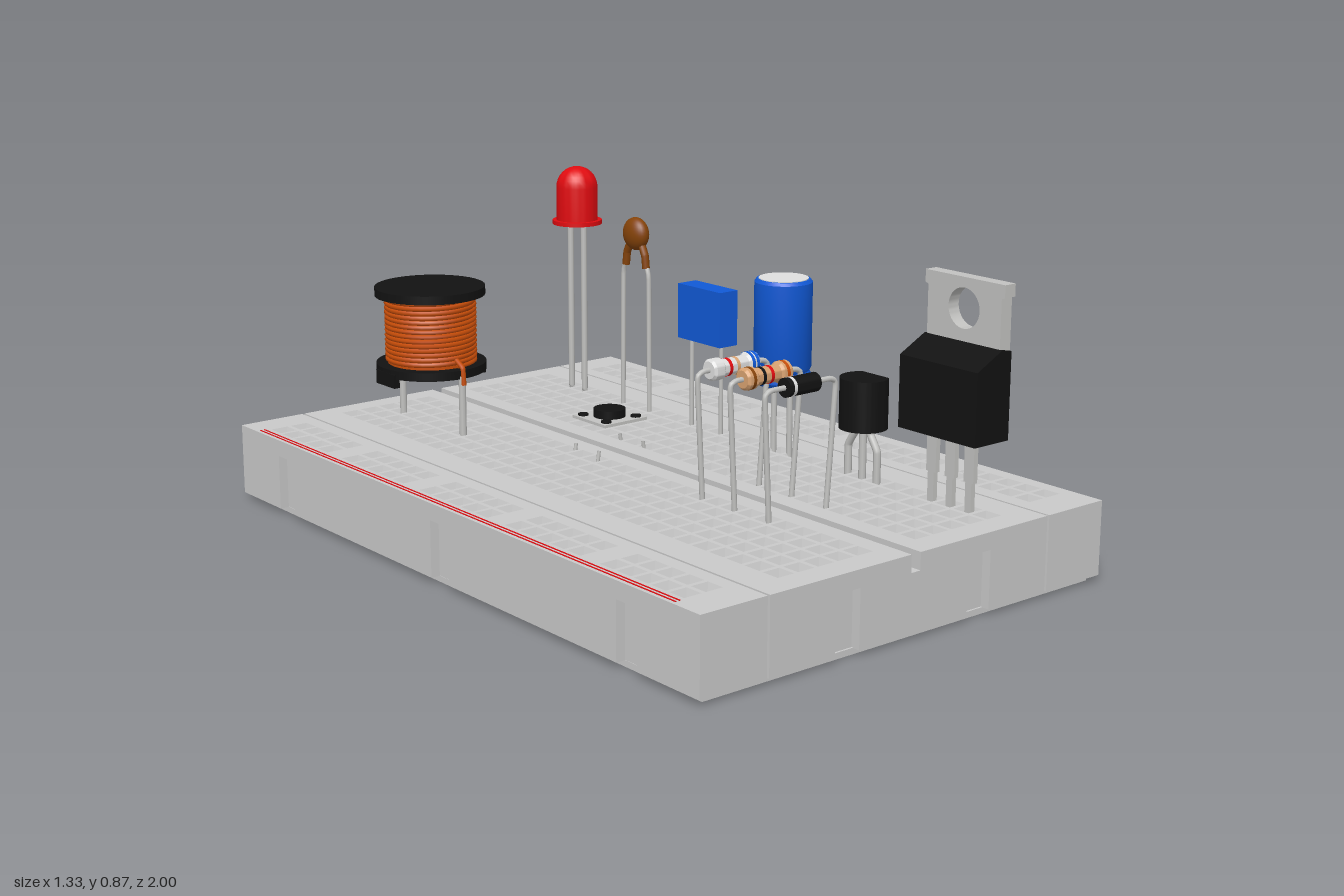
import * as THREE from 'three';
import { mergeGeometries, toCreasedNormals } from 'three/addons/utils/BufferGeometryUtils.js';

const mat = (name, color, side = THREE.FrontSide) => {
  const m = new THREE.MeshStandardMaterial({ color, side });
  m.name = name;
  return m;
};

export function createModel() {
  const grey = mat('light grey', 0xc9c9c9, THREE.DoubleSide);
  const steel = mat('steel', 0xc2c2c0, THREE.DoubleSide);
  const black = mat('black', 0x121212);
  const red = mat('red', 0xe00b10);
  const blue = mat('blue', 0x1159d6);
  const copper = mat('copper', 0xc54c08);
  const brown = mat('brown', 0x854309);
  const tan = mat('tan', 0xd9a271);
  const white = mat('off white', 0xdedede);

  const root = new THREE.Group();
  let parent = root;
  const group = (name, x = 0, y = 0, z = 0) => {
    parent = new THREE.Group();
    parent.name = name;
    parent.position.set(x, y, z);
    root.add(parent);
  };
  const add = (name, geo, material, x = 0, y = 0, z = 0) => {
    const m = new THREE.Mesh(geo, material);
    m.name = name;
    m.position.set(x, y, z);
    parent.add(m);
    return m;
  };
  const box = (name, x0, x1, y0, y1, z0, z1, material) =>
    add(name, new THREE.BoxGeometry(x1 - x0, y1 - y0, z1 - z0), material, (x0 + x1) / 2, (y0 + y1) / 2, (z0 + z1) / 2);
  const cyl = (r, h, n = 32) => new THREE.CylinderGeometry(r, r, h, n);
  const poly = pts => new THREE.Shape(pts.map(p => new THREE.Vector2(...p)));
  const extrude = (shape, depth) => new THREE.ExtrudeGeometry(shape, { depth, bevelEnabled: false, curveSegments: 24 });
  // Plan outline in (x, z), raised from y0 to y1
  const slab = (name, pts, y0, y1, holes = []) => {
    const s = poly(pts.map(([x, z]) => [x, -z]));
    s.holes = holes.map(([x, z, h]) => poly([[x - h, -z - h], [x - h, -z + h], [x + h, -z + h], [x + h, -z - h]]));
    add(name, extrude(s, y1 - y0).rotateX(-Math.PI / 2).translate(0, y0, 0), grey);
  };
  const lathe = pts => toCreasedNormals(new THREE.LatheGeometry(pts.map(p => new THREE.Vector2(...p)), 36), 0.6);
  const wire = (name, pts, r = 0.008, material = steel) => {
    const curve = new THREE.CatmullRomCurve3(pts.map(p => new THREE.Vector3(...p)), false, 'catmullrom', 0.15);
    return add(name, new THREE.TubeGeometry(curve, 10 * pts.length, r, 8), material);
  };
  const leg = (x, z, y1, r) => wire('leg', [[x, 0.19, z], [x, y1, z]], r);

  // ---- Board ----
  group('board');
  const Z0 = -0.973, Z1 = 1, TOP = 0.21, FLOOR = 0.186, SEAT = 0.165, P = 0.0617;
  const tabZ = [-0.735, 0.007, 0.75], tabX = [-0.23, 0.2], W = 0.038, D = 0.025;
  const rect = (a, b) => [[a, Z0], [b, Z0], [b, Z1], [a, Z1]];
  box('basePlate', -0.643, 0.618, 0, 0.016, -0.95, 0.98, grey);
  // Lower layer, with sockets in the left-hand and front edges
  const sideNotches = tabZ.flatMap(z => [[-0.667, z - W], [-0.667 + D, z - W], [-0.667 + D, z + W], [-0.667, z + W]]);
  slab('leftRailBase', [[-0.667, Z0], ...sideNotches, [-0.667, Z1], [-0.474, Z1], [-0.474, Z0]], 0.015, SEAT);
  const frontNotches = tabX.flatMap(x => [[x - W, Z1], [x - W, Z1 - D], [x + W, Z1 - D], [x + W, Z1]]);
  slab('middleBase', [[-0.467, Z0], [-0.467, Z1], ...frontNotches, [0.437, Z1], [0.437, Z0]], 0.015, SEAT);
  slab('rightRailBase', rect(0.444, 0.64), 0.015, SEAT);
  // Upper strips with tapered square contact holes
  const bankZ = Array.from({ length: 30 }, (_, i) => -0.887 + P * i);
  const railZ = Array.from({ length: 25 }, (_, i) => -0.855 + P * (i % 5 + 6 * Math.floor(i / 5)));
  const strips = [
    ['leftRail', -0.667, -0.474, -0.601, 2, railZ], ['leftBank', -0.467, -0.03, -0.354, 5, bankZ],
    ['rightBank', 0, 0.437, 0.081, 5, bankZ], ['rightRail', 0.444, 0.64, 0.514, 2, railZ]];
  const funnels = [];
  for (const [name, a, b, x0, n, rows] of strips) {
    const holes = [];
    for (let i = 0; i < n; i++) for (const z of rows) {
      holes.push([x0 + P * i, z, 0.025]);
      funnels.push(new THREE.CylinderGeometry(0.025 * Math.SQRT2, 0.014 * Math.SQRT2, TOP - FLOOR, 4, 1, true)
        .rotateY(Math.PI / 4).toNonIndexed().translate(x0 + P * i, (TOP + FLOOR) / 2, z));
    }
    slab(name + 'Strip', rect(a, b), SEAT, FLOOR);
    slab(name + 'Top', rect(a, b), FLOOR, TOP, holes);
  }
  const funnelGeo = mergeGeometries(funnels);
  funnelGeo.computeVertexNormals();
  funnelGeo.scale(1, 1, 1);
  add('contactHoles', funnelGeo, grey);
  for (const z of tabZ) box('sideTab', 0.635, 0.665, 0.018, 0.16, z - W, z + W, grey);
  for (const x of tabX) box('backTab', x - W, x + W, 0.018, 0.16, -1, Z0 + 0.005, grey);
  for (const x of [-0.655, -0.643]) box('railLine', x - 0.0018, x + 0.0018, 0.209, 0.2115, -0.89, 0.905, red);

  // ---- Lamp ----
  group('lamp');
  const dome = Array.from({ length: 9 }, (_, i) => [0.06 * Math.cos(i * Math.PI / 16), 0.812 + 0.06 * Math.sin(i * Math.PI / 16)]);
  dome[8][0] = 0;
  add('lens', lathe([[0, 0.704], [0.072, 0.704], [0.072, 0.716], [0.06, 0.716], ...dome]), red, 0.326, 0, -0.728);
  for (const z of [-0.697, -0.76]) leg(0.326, z, 0.71, 0.009);

  // ---- Disc capacitor ----
  group('discCapacitor');
  add('disc', new THREE.SphereGeometry(0.047, 28, 18).scale(0.63, 1, 1), brown, 0.325, 0.712, -0.452);
  for (const s of [-1, 1]) {
    const z = d => -0.452 + s * d;
    wire('coating', [[0.325, 0.69, z(0.022)], [0.325, 0.655, z(0.04)], [0.325, 0.618, z(0.045)]], 0.011, brown);
    wire('leg', [[0.325, 0.63, z(0.043)], [0.325, 0.59, z(0.057)], [0.325, 0.19, z(0.06)]], 0.007);
  }

  // ---- Box capacitor ----
  group('boxCapacitor');
  box('case', 0.296, 0.359, 0.455, 0.608, -0.23, -0.054, blue);
  for (const z of [-0.08, -0.204]) leg(0.325, z, 0.46, 0.006);

  // ---- Can capacitor ----
  group('canCapacitor', 0.325, 0, 0.167);
  add('sleeve', lathe([[0, 0.398], [0.07, 0.398], [0.077, 0.408], [0.077, 0.425], [0.071, 0.435], [0.077, 0.447],
    [0.077, 0.673], [0.071, 0.681], [0.066, 0.681], [0, 0.676]]), blue);
  add('lid', cyl(0.066, 0.008), white, 0, 0.679, 0);
  for (let i = 0; i < 4; i++) {
    add('polarityDash', new THREE.CylinderGeometry(0.0785, 0.0785, 0.036, 6, 1, true, Math.PI - 0.2, 0.4), black, 0, 0.485 + 0.055 * i, 0);
  }
  for (const z of [-0.031, 0.031]) leg(0, z, 0.4, 0.008);

  // ---- Small transistor ----
  group('smallTransistor', 0.325, 0, 0.475);
  const dee = new THREE.Shape();
  const a = Math.acos(0.04 / 0.063);
  dee.absarc(0, 0, 0.063, a, Math.PI * 2 - a, false);
  add('case', toCreasedNormals(extrude(dee, 0.133).rotateX(-Math.PI / 2), 0.6), black, 0, 0.34, 0);
  for (const s of [-1, 0, 1]) {
    wire('leg', [[0, 0.345, 0.026 * s], [0, 0.325, 0.028 * s], [0, 0.285, 0.052 * s], [0, 0.19, 0.052 * s]], 0.01);
  }

  // ---- Power transistor ----
  group('powerTransistor', 0, 0, 0.784);
  const casing = poly([[0.266, 0.39], [0.383, 0.39], [0.383, 0.612], [0.35, 0.618], [0.266, 0.575]]);
  add('case', extrude(casing, 0.256), black, 0, 0, -0.128);
  const half = [[0.085, 0.452], [0.085, 0.595], [0.12, 0.6], [0.12, 0.742], [0.13, 0.745], [0.13, 0.777]];
  const plate = poly([...half, ...half.map(([u, v]) => [-u, v]).reverse()]);
  plate.holes.push(new THREE.Path().absarc(0, 0.7, 0.051, 0, Math.PI * 2, true));
  add('heatTab', toCreasedNormals(extrude(plate, 0.036).rotateY(Math.PI / 2), 0.6), steel, 0.35, 0, 0);
  for (const z of [-0.063, 0, 0.063]) {
    box('legTop', 0.319, 0.333, 0.28, 0.395, z - 0.016, z + 0.016, steel);
    box('legTip', 0.319, 0.333, 0.19, 0.28, z - 0.01, z + 0.01, steel);
  }

  // ---- Axial parts bridging the centre channel ----
  const axial = (name, z, half, body, waist, bands) => {
    group(name, -0.013, 0.53, z);
    const e = half - 0.037, r = 0.028;
    const pts = waist ? [[0, -half], [0.022, -half], [r, -half + 0.006], [r, -e - 0.006], [0.022, -e], [0.022, e],
      [r, e + 0.006], [r, half - 0.006], [0.022, half], [0, half]] : [[0, -half], [0.024, -half], [0.024, half], [0, half]];
    add('body', lathe(pts).rotateZ(-Math.PI / 2), body);
    for (const [x, m, br] of bands) add('band', cyl(br, 0.009, 24).rotateZ(Math.PI / 2), m, x, 0, 0);
    for (const [s, top, foot] of [[-1, -0.112, -0.094], [1, 0.118, 0.094]]) {
      wire('lead', [[s * (half - 0.01), 0, 0], [top - s * 0.02, 0, 0], [top - s * 0.004, -0.006, 0], [top, -0.025, 0],
        [foot, -0.34, 0]], 0.007);
    }
  };
  axial('diode', 0.597, 0.05, black, false, [[-0.033, white, 0.0248]]);
  axial('tanResistor', 0.472, 0.074, tan, true,
    [[-0.055, brown, 0.0288], [-0.018, black, 0.023], [0.008, red, 0.023], [0.055, copper, 0.0288]]);
  axial('paleResistor', 0.35, 0.076, white, true,
    [[-0.02, red, 0.023], [0.005, tan, 0.023], [0.05, blue, 0.0288], [0.064, blue, 0.0288]]);

  // ---- Push button ----
  group('pushButton', -0.013, 0, -0.145);
  box('coverPlate', -0.071, 0.071, 0.291, 0.299, -0.071, 0.071, steel);
  add('plunger', cyl(0.043, 0.024), black, 0, 0.309, 0);
  for (const x of [-0.05, 0.05]) for (const z of [-0.05, 0.05]) {
    add('rivet', cyl(0.014, 0.008, 16), black, x, 0.3, z);
    wire('foot', [[x * 1.6, 0.19, z], [x * 1.5, 0.225, z]], 0.005);
  }

  // ---- Wound coil ----
  group('coil', -0.23, 0, -0.672);
  add('topFlange', cyl(0.153, 0.024, 40), black, 0, 0.587, 0);
  add('bottomFlange', cyl(0.153, 0.024, 40), black, 0, 0.374, 0);
  add('underside', cyl(0.105, 0.014), black, 0, 0.358, 0);
  for (const s of [-1, 1]) box('flangeFoot', s * 0.144 - 0.009, s * 0.144 + 0.009, 0.337, 0.375, -0.045, 0.045, black);
  add('core', cyl(0.121, 0.19), copper, 0, 0.48, 0);
  const turns = 14, helix = [];
  for (let i = 0; i <= turns * 16; i++) {
    const t = i * Math.PI / 8;
    helix.push(new THREE.Vector3(0.121 * Math.sin(t), 0.389 + 0.183 * i / (turns * 16), 0.121 * Math.cos(t)));
  }
  add('winding', new THREE.TubeGeometry(new THREE.CatmullRomCurve3(helix), turns * 32, 0.0072, 6), copper);
  for (const s of [-1, 1]) {
    wire('windingTail', [[0, 0.41, s * 0.123], [0, 0.392, s * 0.154], [0, 0.345, s * 0.158]], 0.007, copper);
    leg(0, s * 0.15, 0.37, 0.01);
  }
  return root;
}
